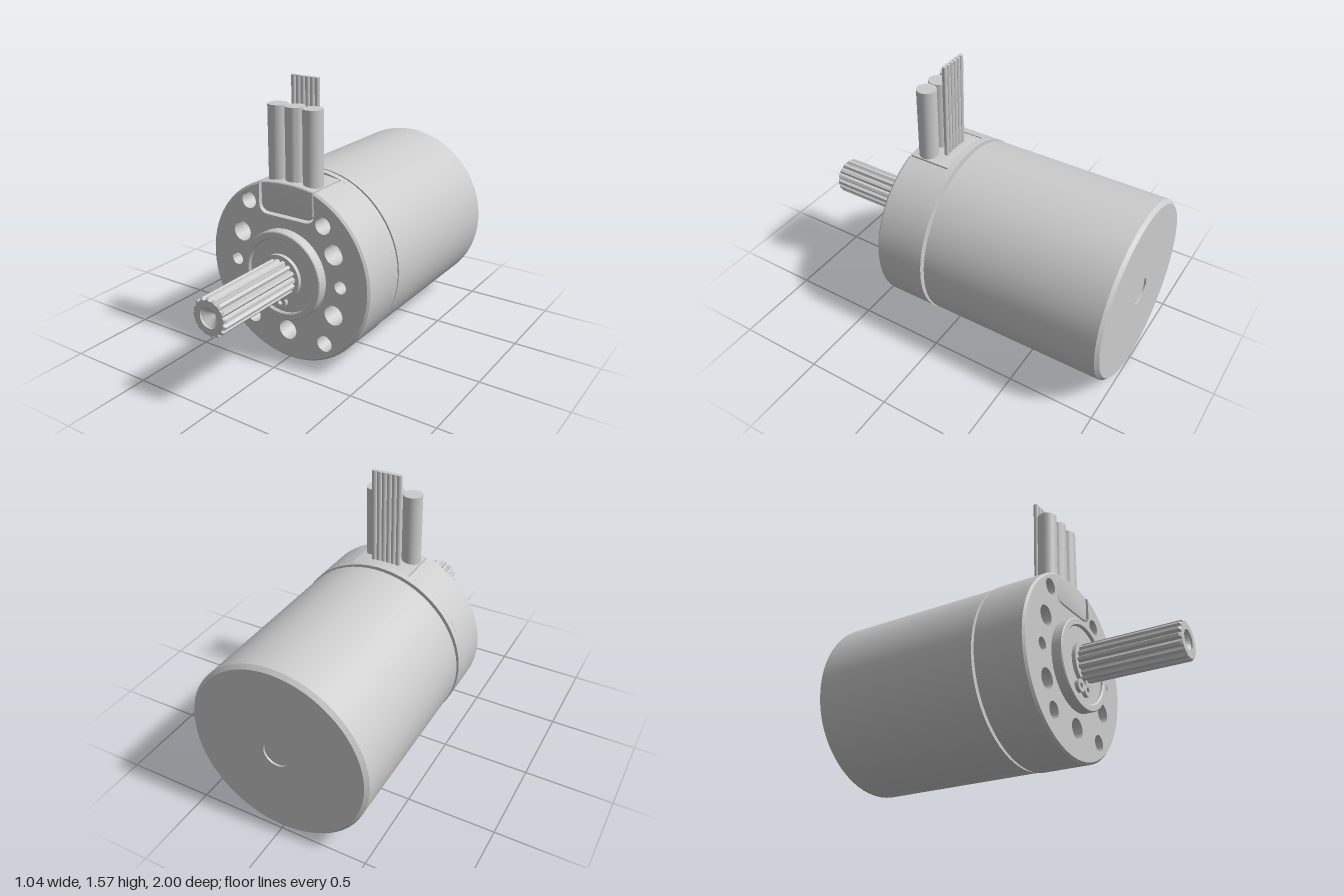
import * as THREE from 'three';
import { toCreasedNormals } from 'three/addons/utils/BufferGeometryUtils.js';

const AXIS_Y = 0.525; // height of the shaft axis
const R = 0.522;      // end cap radius

export function createModel() {
  const root = new THREE.Group();
  const motor = new THREE.Group();
  motor.name = 'motor';
  motor.position.y = AXIS_Y;
  root.add(motor);
  const grey = new THREE.MeshStandardMaterial({ color: 0xcccccc, side: THREE.DoubleSide });

  const add = (name, geometry, parent = motor) => {
    const mesh = new THREE.Mesh(toCreasedNormals(geometry, 0.5), grey);
    mesh.name = name;
    parent.add(mesh);
    return mesh;
  };

  // Turned part along z from [radius, z] pairs, back to front
  const turned = (profile, segments = 64) =>
    new THREE.LatheGeometry(profile.map(([r, z]) => new THREE.Vector2(r, z)), segments)
      .rotateX(Math.PI / 2);

  const circle = (x, y, r) => new THREE.Path().absarc(x, y, r, 0, Math.PI * 2, false);

  // Extrusion from z0 to z1 whose outer front edge is chamfered beyond radius minR
  const chamfered = (shape, z0, z1, chamfer, minR, curveSegments) => {
    const g = new THREE.ExtrudeGeometry(shape, {
      depth: z1 - z0, steps: 2, bevelEnabled: false, curveSegments });
    const p = g.attributes.position;
    const depth = z1 - z0;
    for (let i = 0; i < p.count; i++) {
      const z = p.getZ(i), r = Math.hypot(p.getX(i), p.getY(i));
      if (Math.abs(z - depth / 2) < 1e-4) p.setZ(i, depth - chamfer);
      else if (z > depth / 2 && r > minR) {
        const k = (r - chamfer) / r;
        p.setXY(i, p.getX(i) * k, p.getY(i) * k);
      }
    }
    return g.translate(0, 0, z0);
  };

  // Conical bottom of a drilled hole
  const drillTip = (name, x, y, r, z, depth) =>
    add(name, new THREE.ConeGeometry(r, depth, 32, 1, true)
      .rotateX(-Math.PI / 2).translate(x, y, z - depth / 2));

  // Motor can with chamfered rear edge and shallow centre recess
  add('motorCan', turned([[0, -0.99], [0.075, -0.99], [0.075, -1], [0.497, -1],
    [0.517, -0.98], [0.517, 0.05], [0, 0.05]]));
  add('couplingNeck', turned([[0.185, 0.04], [0.185, 0.08]]));

  // End cap: solid rear web, then a notched and drilled front
  add('endCapRear', turned([[0, 0.07], [R, 0.07], [R, 0.11], [0, 0.11]]));
  const notchX = 0.18, notchY = 0.315, corner = 0.06;
  const a = Math.acos(notchX / R);
  const cap = new THREE.Shape();
  cap.absarc(0, 0, R, Math.PI - a, Math.PI * 2 + a, false);
  cap.lineTo(notchX, notchY + corner);
  cap.quadraticCurveTo(notchX, notchY, notchX - corner, notchY);
  cap.lineTo(corner - notchX, notchY);
  cap.quadraticCurveTo(-notchX, notchY, -notchX, notchY + corner);
  cap.closePath();
  const holes = [
    [-0.25, 0.37, 0.047], [0.235, 0.323, 0.047],
    [-0.24, -0.318, 0.047], [0.245, -0.36, 0.047], [0, -0.347, 0.057],
  ];
  for (const s of [-1, 1]) {
    holes.push([s * 0.303, 0.178, 0.057], [s * 0.303, -0.172, 0.057], [s * 0.345, 0.002, 0.036]);
  }
  holes.forEach(([x, y, r]) => {
    cap.holes.push(circle(x, y, r));
    drillTip('mountingHoleTip', x, y, r, 0.24, r * 0.6);
  });
  add('endCapFront', chamfered(cap, 0.11, 0.365, 0.012, R - 0.005, 32));

  // Pilot boss with the bearing set into it
  add('pilotBoss', turned([[0.255, 0.36], [0.255, 0.42], [0.25, 0.425], [0.22, 0.425],
    [0.213, 0.418], [0.213, 0.4]]));
  add('bearing', turned([[0.213, 0.408], [0.09, 0.408]]));

  // Retaining clip: open ring with two pierced lugs
  const clip = new THREE.Group();
  clip.name = 'retainingClip';
  motor.add(clip);
  const clipOptions = { depth: 0.022, bevelEnabled: false, curveSegments: 24 };
  const gap0 = THREE.MathUtils.degToRad(-112), gap1 = THREE.MathUtils.degToRad(236);
  const ring = new THREE.Shape();
  ring.absarc(0, 0, 0.128, gap0 + 0.2, gap1, false);
  ring.absarc(0, 0, 0.09, gap1, gap0 + 0.2, true);
  add('clipRing', new THREE.ExtrudeGeometry(ring, clipOptions).translate(0, 0, 0.413), clip);
  for (const [x, y] of [[-0.068, -0.143], [0.002, -0.148]]) {
    const lug = new THREE.Shape().absarc(x, y, 0.036, 0, Math.PI * 2, false);
    lug.holes.push(circle(x, y, 0.015));
    add('clipLug', new THREE.ExtrudeGeometry(lug, clipOptions).translate(0, 0, 0.412), clip);
  }

  // Splined shaft with a centre-drilled end
  const teeth = 16, spline = new THREE.Shape();
  for (let i = 0; i < teeth; i++) {
    // flat tooth tip followed by a rounded flute
    [[0, 0.106], [0.4, 0.106], [0.52, 0.096], [0.7, 0.09], [0.88, 0.096]].forEach(([t, r], j) => {
      const angle = (i + t) / teeth * Math.PI * 2;
      const x = r * Math.cos(angle), y = r * Math.sin(angle);
      if (i + j === 0) spline.moveTo(x, y); else spline.lineTo(x, y);
    });
  }
  spline.closePath();
  spline.holes.push(circle(0, 0, 0.056));
  add('splinedShaft', chamfered(spline, 0.36, 1, 0.01, 0.1, 16));
  drillTip('shaftCentreHole', 0, 0, 0.056, 0.99, 0.05);

  // Cable grommet filling the notch, with an arched top and eased edges
  const gx = 0.171, gy = 0.327, gr = 0.052;
  const block = new THREE.Shape();
  block.moveTo(gx, 0.492);
  block.quadraticCurveTo(0, 0.525, -gx, 0.492);
  block.lineTo(-gx, gy + gr);
  block.quadraticCurveTo(-gx, gy, gr - gx, gy);
  block.lineTo(gx - gr, gy);
  block.quadraticCurveTo(gx, gy, gx, gy + gr);
  block.closePath();
  add('cableGrommet', new THREE.ExtrudeGeometry(block, {
    depth: 0.236, bevelThickness: 0.012, bevelSize: 0.012, bevelOffset: -0.012,
    bevelSegments: 3, curveSegments: 12 }).translate(0, 0, 0.112));

  // Upright wires leaving the grommet
  const wire = (name, x, z, r, top, sides) => {
    const bottom = 0.45, height = top - AXIS_Y - bottom;
    add(name, new THREE.CylinderGeometry(r, r, height, sides)
      .translate(x, bottom + height / 2, z));
  };
  for (let i = -1; i <= 1; i++) wire('powerWire', i * 0.112, 0.272, 0.055, 1.432, 32);
  for (let i = 0; i < 6; i++) wire('sensorWire', (i - 2.5) * 0.03, 0.178, 0.0142, 1.572, 16);

  return root;
}
